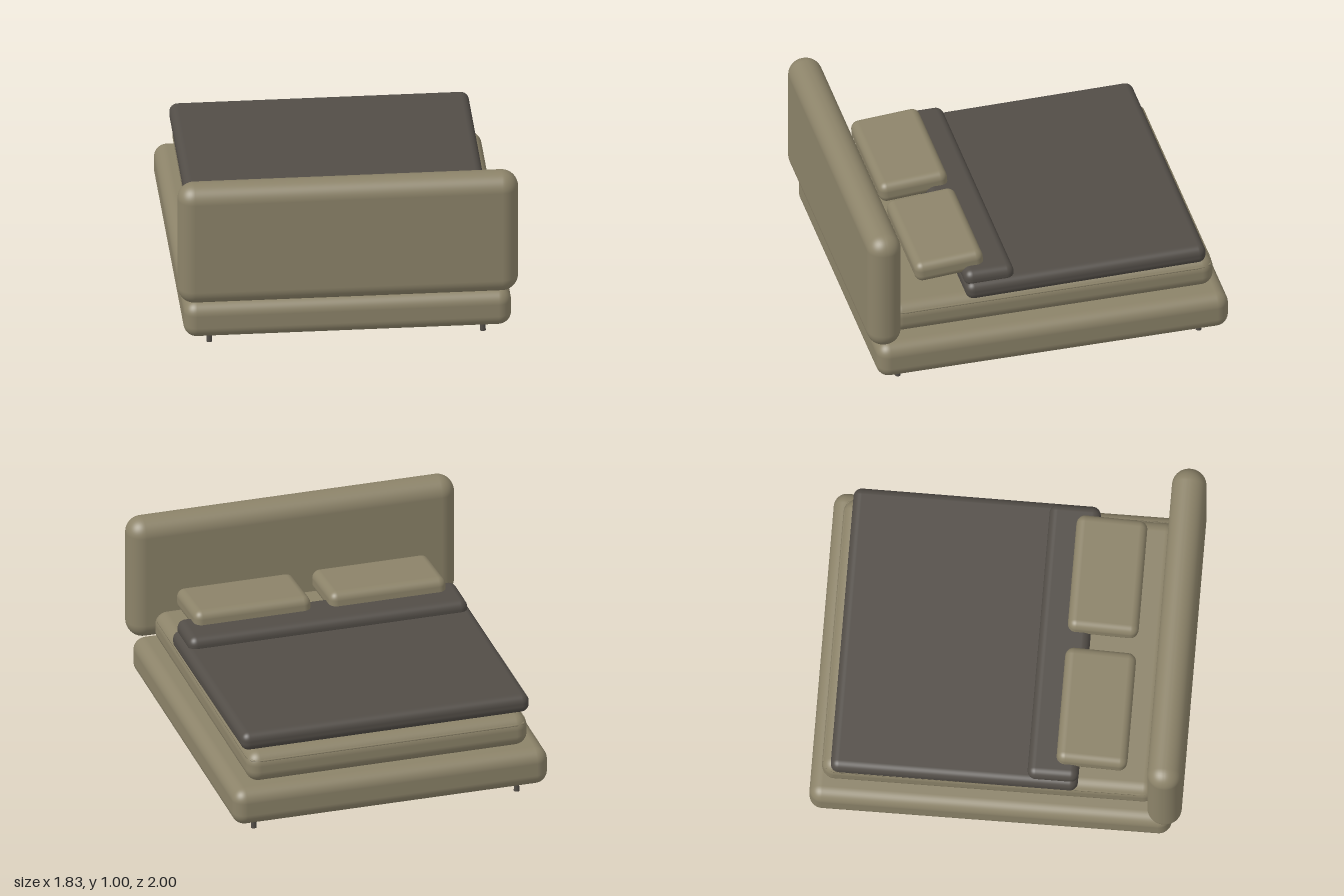
import * as THREE from 'three';
import { RoundedBoxGeometry } from 'three/addons/geometries/RoundedBoxGeometry.js';

export function createModel() {
  const bed = new THREE.Group();
  bed.name = 'bed';

  const upholstery = new THREE.MeshStandardMaterial({ color: 0x8c8369 });
  upholstery.name = 'olive upholstery';
  const blanket = new THREE.MeshStandardMaterial({ color: 0x524d47 });
  blanket.name = 'charcoal blanket';

  // Soft rounded block given by its extents, with an optional tilt about x
  function cushion(name, material, [x0, x1], [y0, y1], [z0, z1], radius, tilt = 0) {
    const geometry = new RoundedBoxGeometry(x1 - x0, y1 - y0, z1 - z0, 6, radius);
    const mesh = new THREE.Mesh(geometry, material);
    mesh.name = name;
    mesh.position.set((x0 + x1) / 2, (y0 + y1) / 2, (z0 + z1) / 2);
    mesh.rotation.x = tilt;
    bed.add(mesh);
    return mesh;
  }

  // Frame, mattress and headboard
  cushion('bedBase', upholstery, [-0.88, 0.88], [0.077, 0.287], [-1, 0.945], 0.07);
  cushion('mattress', upholstery, [-0.785, 0.785], [0.295, 0.47], [-0.94, 0.855], 0.07);
  cushion('headboard', upholstery, [-0.915, 0.915], [0.3, 1.005], [0.815, 1], 0.09);

  // Thin piping seam around the upper edge of the mattress
  const s = new THREE.Shape();
  const w = 0.775, z0 = -0.93, z1 = 0.845, r = 0.06;
  s.moveTo(-w + r, z0);
  s.lineTo(w - r, z0);
  s.quadraticCurveTo(w, z0, w, z0 + r);
  s.lineTo(w, z1 - r);
  s.quadraticCurveTo(w, z1, w - r, z1);
  s.lineTo(-w + r, z1);
  s.quadraticCurveTo(-w, z1, -w, z1 - r);
  s.lineTo(-w, z0 + r);
  s.quadraticCurveTo(-w, z0, -w + r, z0);
  const seamPath = new THREE.CatmullRomCurve3(
    s.getSpacedPoints(120).slice(0, -1).map((p) => new THREE.Vector3(p.x, 0.43, p.y)), true);
  const piping = new THREE.Mesh(new THREE.TubeGeometry(seamPath, 160, 0.006, 6, true), upholstery);
  piping.name = 'mattressPiping';
  bed.add(piping);

  // Blanket and its folded-back edge
  cushion('blanket', blanket, [-0.805, 0.805], [0.463, 0.568], [-0.89, 0.437], 0.045, 0.011);
  cushion('blanketFold', blanket, [-0.78, 0.78], [0.525, 0.622], [0.165, 0.44], 0.045);

  // Mirrored pair of pillows
  for (const side of [-1, 1]) {
    const name = side > 0 ? 'leftPillow' : 'rightPillow';
    const pillow = cushion(name, upholstery, [-0.327, 0.327], [0.562, 0.682], [0.315, 0.695], 0.045, 0.075);
    pillow.position.x = side * 0.378;
  }

  // Four short feet, slightly wider at the floor
  const footGeometry = new THREE.CylinderGeometry(0.01, 0.016, 0.09, 16);
  for (const x of [-0.735, 0.735]) {
    for (const z of [-0.86, 0.805]) {
      const foot = new THREE.Mesh(footGeometry, blanket);
      foot.name = 'foot';
      foot.position.set(x, 0.045, z);
      bed.add(foot);
    }
  }
  return bed;
}
